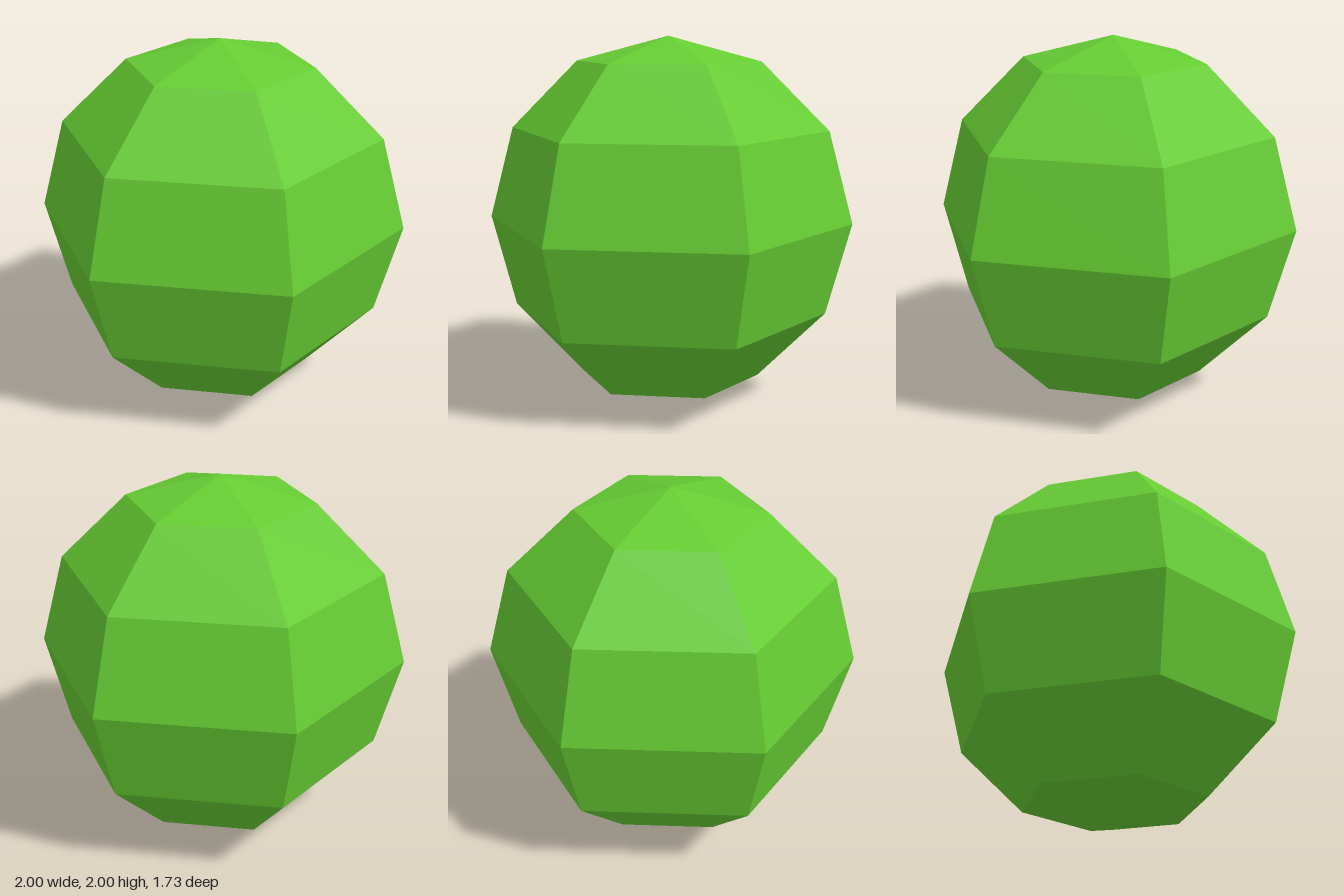
import * as THREE from 'three';

export function createModel() {
  const group = new THREE.Group();
  group.name = 'lowPolyBall';

  // Faceted ball: six sides around, six bands from pole to pole
  const ball = new THREE.Mesh(
    new THREE.SphereGeometry(1, 6, 6),
    new THREE.MeshStandardMaterial({ color: 0x66cc33, flatShading: true })
  );
  ball.name = 'ball';
  ball.position.y = 1;
  group.add(ball);

  return group;
}
